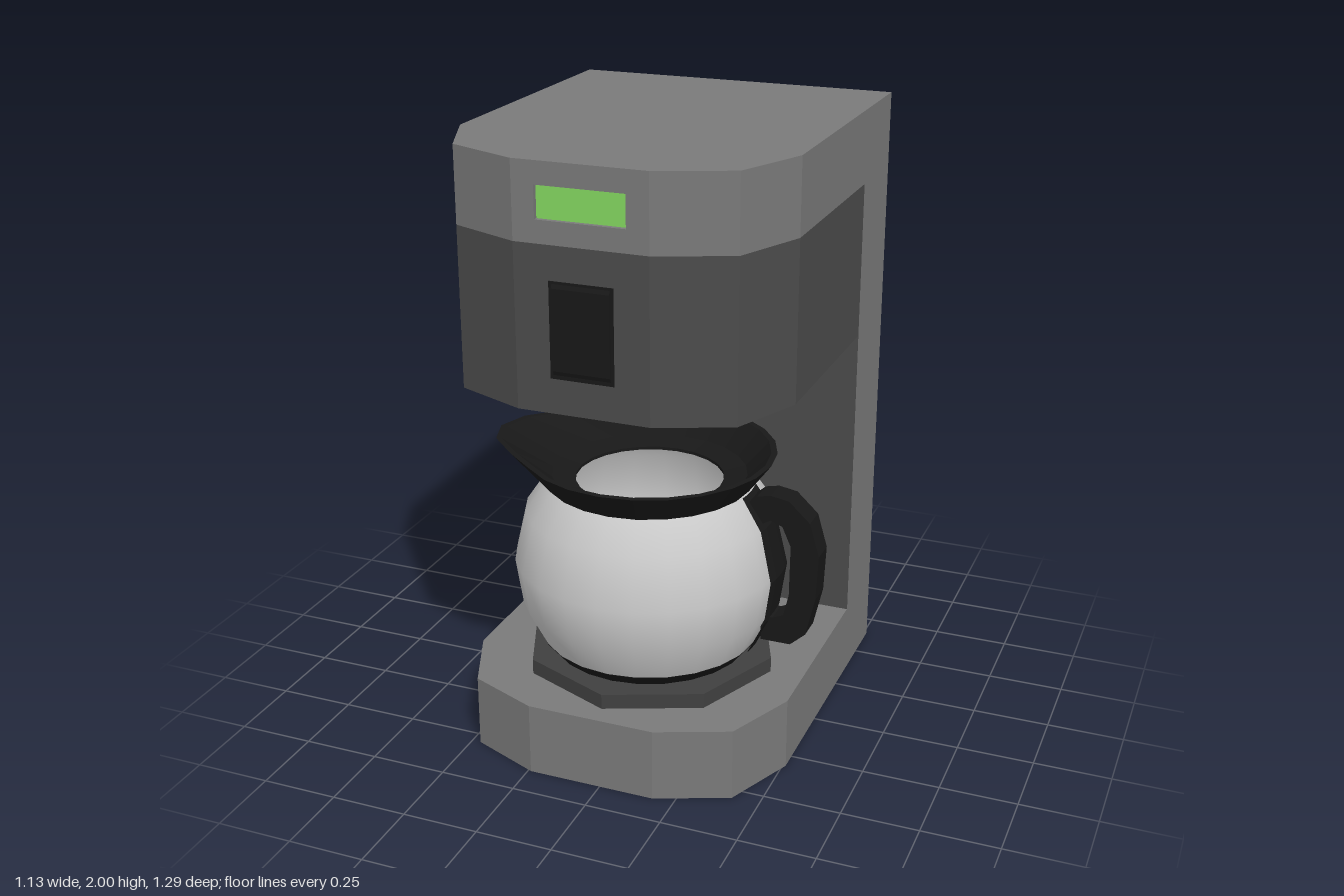
import * as THREE from 'three';

const mat = (color, flatShading = true) =>
  new THREE.MeshStandardMaterial({ color, flatShading, side: THREE.DoubleSide });
const GREY = mat(0x7a7a7a), DARK = mat(0x4c4c4c), PLATE = mat(0x404040), BLACK = mat(0x181818);
const GREEN = mat(0x84d860), GLASS = mat(0xcccccc, false);

function add(parent, name, geometry, material) {
  const mesh = new THREE.Mesh(geometry, material);
  mesh.name = name;
  parent.add(mesh);
  return mesh;
}

const toShape = pts => new THREE.Shape(pts.map(([x, y]) => new THREE.Vector2(x, y)));

// Plan outline given as [x, z], raised from y0 to y1
function slab(plan, y0, y1) {
  const g = new THREE.ExtrudeGeometry(toShape(plan.map(([x, z]) => [x, -z])),
    { depth: y1 - y0, bevelEnabled: false });
  return g.rotateX(-Math.PI / 2).translate(0, y0, 0);
}

function box(x0, x1, y0, y1, z0, z1) {
  return new THREE.BoxGeometry(x1 - x0, y1 - y0, z1 - z0)
    .translate((x0 + x1) / 2, (y0 + y1) / 2, (z0 + z1) / 2);
}

function lathe(pts, segments, start = 0, length = Math.PI * 2) {
  return new THREE.LatheGeometry(pts.map(([r, y]) => new THREE.Vector2(r, y)), segments, start, length);
}

const L = -0.57, R = 0.51, BACK = -0.645, WALL = -0.36, FRONT = 0.64;
// Faceted front with an optional notch, closed by a straight rear edge
const plan = (rear, notch = []) => [
  [L, rear], [R, rear], [R, 0.31], [0.41, 0.545], [0.18, FRONT],
  ...notch, [-0.24, FRONT], [-0.47, 0.545], [L, 0.31]];

function createBody() {
  const body = new THREE.Group();
  body.name = 'body';
  add(body, 'base', slab(plan(WALL), 0, 0.24), GREY);
  add(body, 'column', box(L, R, 0, 2, BACK, WALL), GREY);
  add(body, 'columnFrontPanel', box(L, R, 0.24, 1.25, WALL, WALL + 0.003), DARK);
  add(body, 'brewHead', slab(plan(WALL), 1.25, 1.76), DARK);

  // Top housing, notched around the display
  const notch = [[0.11, FRONT], [0.11, 0.62], [-0.17, 0.62], [-0.17, FRONT]];
  add(body, 'housingLower', slab(plan(WALL), 1.76, 1.83), GREY);
  add(body, 'housingMiddle', slab(plan(WALL, notch), 1.83, 1.93), GREY);
  add(body, 'housingUpper', slab(plan(WALL), 1.93, 2), GREY);
  add(body, 'display', box(-0.17, 0.11, 1.83, 1.93, 0.61, 0.625), GREEN);

  // Rocker switch
  add(body, 'switchFrame', box(-0.13, 0.07, 1.36, 1.655, 0.6, 0.643), BLACK);
  const rocker = new THREE.ExtrudeGeometry(
    toShape([[0.6, 1.37], [0.642, 1.37], [0.648, 1.385], [0.648, 1.635], [0.642, 1.65], [0.6, 1.65]]),
    { depth: 0.18, bevelEnabled: false });
  rocker.rotateY(-Math.PI / 2).translate(0.06, 0, 0);
  add(body, 'switchRocker', rocker, BLACK);
  return body;
}

function createPot() {
  const pot = new THREE.Group();
  pot.name = 'pot';
  const side = [[0.36, 0.33], [0.42, 0.45], [0.442, 0.6], [0.403, 0.77], [0.335, 0.87]];
  add(pot, 'glass', lathe(side, 24), GLASS);
  add(pot, 'foot', lathe([[0, 0.29], [0.33, 0.29], [0.362, 0.33], [0, 0.335]], 24), BLACK);

  // Flared rim, drawn out into a spout on -x
  const rim = lathe([[0.24, 0.86], [0.335, 0.865], [0.41, 0.965], [0.39, 0.965], [0.315, 0.885], [0.24, 0.87], [0.24, 0.86]], 24);
  const p = rim.attributes.position;
  for (let i = 0; i < p.count; i++) {
    const x = p.getX(i), z = p.getZ(i), c = -x / Math.hypot(x, z);
    if (p.getY(i) > 0.95 && c > 0.8) p.setX(i, x - 0.12 * (c - 0.8) / 0.2);
  }
  add(pot, 'rim', rim, BLACK);

  // Strap up the side, and the handle loop
  const strap = side.map(([r, y]) => [r + 0.01, y]);
  add(pot, 'handleStrap', lathe(strap, 4, Math.PI / 2 - 0.185, 0.37), BLACK);
  const loop = toShape([[0.34, 0.84], [0.38, 0.875], [0.425, 0.885], [0.485, 0.875], [0.555, 0.81],
    [0.587, 0.7], [0.58, 0.55], [0.55, 0.42], [0.5, 0.375], [0.4, 0.375], [0.4, 0.46], [0.44, 0.46],
    [0.475, 0.475], [0.492, 0.55], [0.494, 0.72], [0.465, 0.785], [0.425, 0.8], [0.36, 0.76]]);
  add(pot, 'handle', new THREE.ExtrudeGeometry(loop, { depth: 0.085, bevelEnabled: false })
    .translate(0, 0, -0.0425), BLACK);
  pot.position.set(-0.025, 0, 0.147);
  return pot;
}

export function createModel() {
  const model = new THREE.Group();
  model.name = 'coffeeMaker';
  model.add(createBody());
  const plate = add(model, 'warmingPlate', new THREE.CylinderGeometry(0.42, 0.42, 0.05, 8), PLATE);
  plate.position.set(-0.02, 0.265, 0.15);
  model.add(createPot());
  return model;
}
